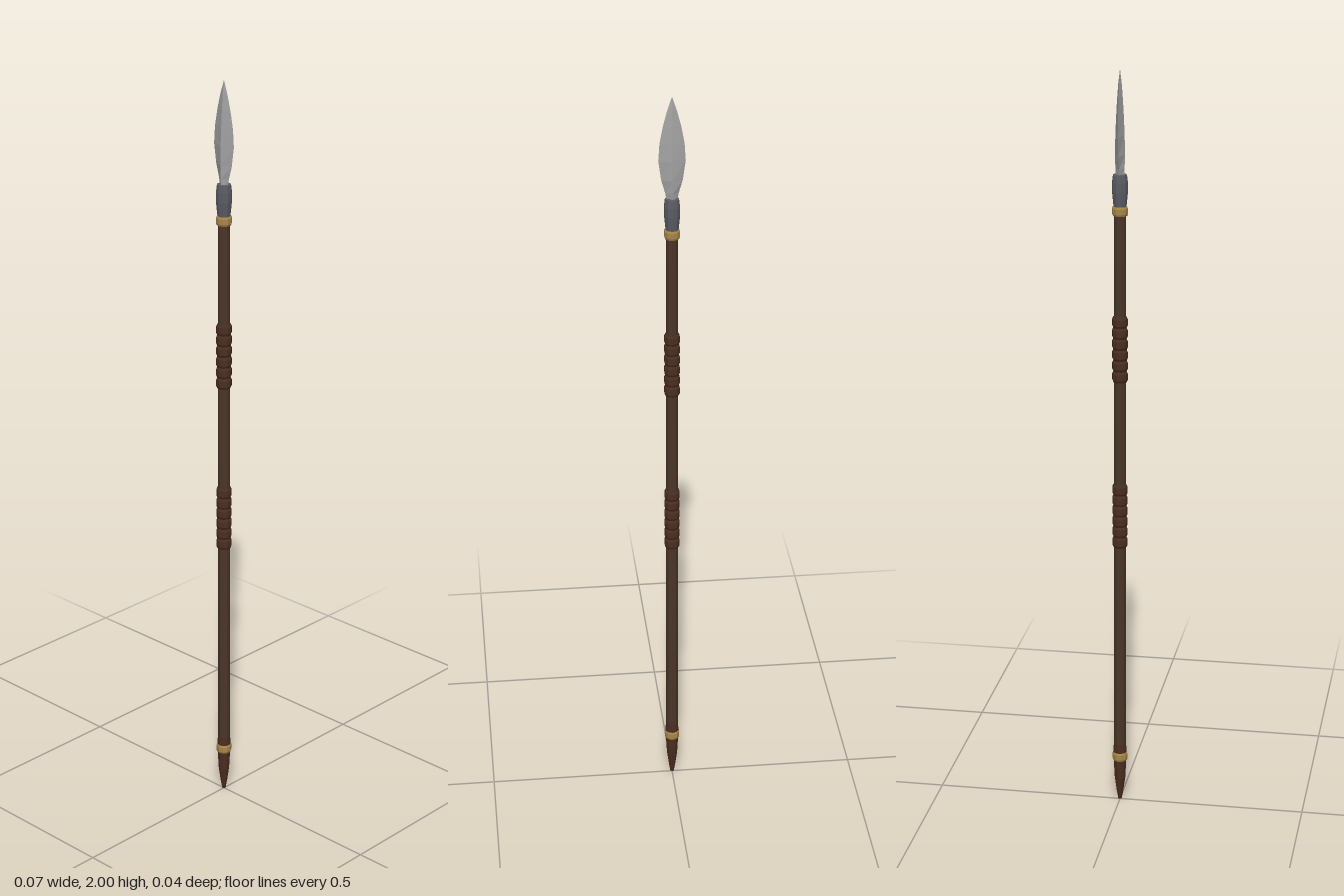
import * as THREE from 'three';

const SIDES = 10;
const paint = (color) => new THREE.MeshStandardMaterial({ color, flatShading: true });
const WOOD = paint(0x4a3628), LEATHER = paint(0x4a2e20), BRASS = paint(0xa8874a);
const IRON = paint(0x5c5c66), STEEL = paint(0xa4a4a4);

// Turned part from [radius, height] pairs, bottom to top
function turned(name, profile, material) {
  const points = profile.map(([r, y]) => new THREE.Vector2(r, y));
  const mesh = new THREE.Mesh(new THREE.LatheGeometry(points, SIDES), material);
  mesh.name = name;
  return mesh;
}

// Leather grip: a sleeve with raised bands
function grip(name, bottom, top) {
  const bands = 6, step = (top - bottom) / bands;
  const profile = [[0.015, bottom]];
  for (let i = 0; i < bands; i++) {
    const y = bottom + i * step;
    profile.push([0.0175, y], [0.0205, y + step * 0.22], [0.0205, y + step * 0.78], [0.0175, y + step]);
  }
  profile.push([0.015, top]);
  return turned(name, profile, LEATHER);
}

// Leaf blade: diamond sections [height, half width, half thickness] joined up to a point
function blade() {
  const sections = [
    [1.725, 0.012, 0.011], [1.75, 0.017, 0.012], [1.785, 0.027, 0.0125], [1.835, 0.034, 0.012],
    [1.88, 0.031, 0.010], [1.925, 0.0225, 0.0075], [1.965, 0.012, 0.0045], [2.0, 0.0003, 0.0003],
  ];
  const positions = [], index = [];
  for (const [y, w, t] of sections) positions.push(w, y, 0, 0, y, t, -w, y, 0, 0, y, -t);
  for (let s = 0; s < sections.length - 1; s++) {
    for (let i = 0; i < 4; i++) {
      const a = s * 4 + i, b = s * 4 + (i + 1) % 4;
      index.push(a, a + 4, b, b, a + 4, b + 4);
    }
  }
  index.push(0, 1, 2, 0, 2, 3);
  const geometry = new THREE.BufferGeometry();
  geometry.setAttribute('position', new THREE.Float32BufferAttribute(positions, 3));
  geometry.setIndex(index);
  geometry.computeVertexNormals();
  const mesh = new THREE.Mesh(geometry, STEEL);
  mesh.name = 'blade';
  return mesh;
}

// Brass collar with bevelled rims
const collar = (name, y, r) => turned(name, [
  [0.012, y - 0.012], [r - 0.002, y - 0.012], [r, y - 0.007], [r, y + 0.007], [r - 0.002, y + 0.012], [0.012, y + 0.012],
], BRASS);

export function createModel() {
  const spear = new THREE.Group();
  spear.name = 'spear';

  // Shaft and hand grips
  spear.add(turned('shaft', [[0, 0.1], [0.0165, 0.1], [0.0155, 1.66], [0, 1.66]], WOOD));
  spear.add(grip('lowerGrip', 0.735, 0.91), grip('upperGrip', 1.19, 1.365));

  // Butt end
  spear.add(turned('buttSpike', [
    [0, 0], [0.005, 0.002], [0.009, 0.025], [0.0145, 0.065], [0.0175, 0.12], [0.0185, 0.145], [0.0165, 0.168], [0, 0.168],
  ], LEATHER));
  spear.add(collar('buttCollar', 0.13, 0.0205));

  // Head
  spear.add(collar('headCollar', 1.641, 0.0205));
  spear.add(turned('socket', [
    [0, 1.65], [0.0165, 1.65], [0.0185, 1.67], [0.0205, 1.69], [0.0205, 1.715], [0.018, 1.735], [0, 1.737],
  ], IRON));
  spear.add(blade());
  return spear;
}
